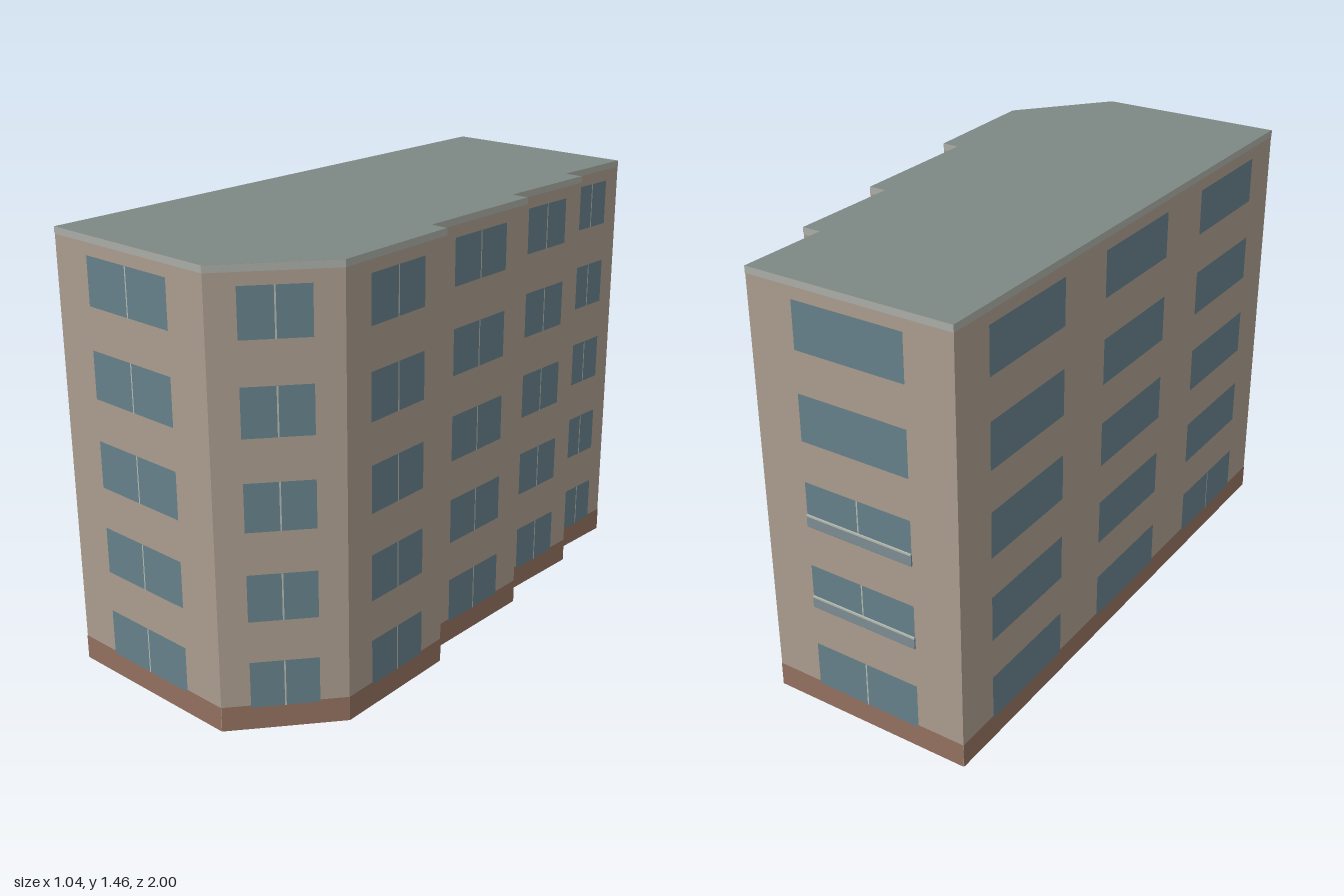
import * as THREE from 'three';

const H = 1.46, PLINTH = 0.083, CORNICE = 0.022;
const FLOORS = 5, STOREY = 0.292, SILL = 0.076, WIN_H = 0.155;

const mat = (color, side = THREE.FrontSide) => new THREE.MeshStandardMaterial({ color, side });
const wallMat = mat(0xaa9c8e, THREE.DoubleSide);
const plinthMat = mat(0x92705f);
const corniceMat = mat(0xa9aca6);
const roofMat = mat(0x7d8784, THREE.DoubleSide);
const glassMat = mat(0x66808a);
const mullionMat = mat(0xb4b8ae);
const railMat = mat(0x7c8c94, THREE.DoubleSide);

// Footprint corners [x, z], walking rightwards as seen from outside.
const FOOT = [
  [-0.35, 0.997], [0.3, 0.945], [0.52, 0.622], [0.465, 0.17], [0.405, 0.172], [0.36, -0.31],
  [0.3, -0.305], [0.272, -0.69], [0.208, -0.685], [0.188, -0.998], [-0.522, -0.938],
];
const BACK = 9, LEFT = 10;

// Flat panel in wall space: x along the wall, y up, z outward.
function panel(parent, name, material, x, y, w, h, z) {
  const m = new THREE.Mesh(new THREE.PlaneGeometry(w, h), material);
  m.name = name;
  m.position.set(x, y + h / 2, z);
  parent.add(m);
}

function hasMullion(wall, floor, bay) {
  if (wall === BACK) return floor < 3;
  if (wall === LEFT) return floor === 0 && bay === 2;
  return true;
}

// Shallow balcony front with a pale handrail.
function addBalcony(parent, x, y, w) {
  const balcony = new THREE.Group();
  balcony.name = 'balcony';
  const front = new THREE.Mesh(new THREE.BoxGeometry(w, 0.035, 0.006), railMat);
  front.name = 'balconyFront';
  front.position.set(x, y + 0.022, 0.004);
  const rail = new THREE.Mesh(new THREE.BoxGeometry(w, 0.006, 0.008), mullionMat);
  rail.name = 'handrail';
  rail.position.set(x, y + 0.042, 0.004);
  balcony.add(front, rail);
  parent.add(balcony);
}

function makeWall(i) {
  const [ax, az] = FOOT[i], [bx, bz] = FOOT[(i + 1) % FOOT.length];
  const len = Math.hypot(bx - ax, bz - az);
  const wall = new THREE.Group();
  wall.name = 'wall';
  wall.position.set(ax, 0, az);
  wall.rotation.y = -Math.atan2(bz - az, bx - ax);

  panel(wall, 'wallFace', wallMat, len / 2, 0, len, H, 0);
  panel(wall, 'plinth', plinthMat, len / 2, 0, len, PLINTH, 0.0015);
  panel(wall, 'cornice', corniceMat, len / 2, H - CORNICE, len, CORNICE, 0.0015);
  if (len < 0.1) return wall; // narrow step returns have no windows

  // Three bays on the long wall, one on the others.
  const bays = i === LEFT ? [0.18, 0.5, 0.82] : [0.5];
  const w = len * (i === LEFT ? 0.2 : 0.54);
  for (let f = 0; f < FLOORS; f++) {
    const y = SILL + f * STOREY;
    bays.forEach((t, bay) => {
      panel(wall, 'window', glassMat, t * len, y, w, WIN_H, 0.003);
      if (hasMullion(i, f, bay)) panel(wall, 'mullion', mullionMat, t * len, y, 0.005, WIN_H, 0.004);
    });
    if (i === BACK && (f === 1 || f === 2)) addBalcony(wall, len / 2, y, w);
  }
  return wall;
}

export function createModel() {
  const building = new THREE.Group();
  building.name = 'apartmentBuilding';
  FOOT.forEach((_, i) => building.add(makeWall(i)));

  // Flat roof following the footprint; the underside of the block stays open.
  const shape = new THREE.Shape(FOOT.map(([x, z]) => new THREE.Vector2(x, -z)));
  const roof = new THREE.Mesh(new THREE.ShapeGeometry(shape).rotateX(-Math.PI / 2), roofMat);
  roof.name = 'roof';
  roof.position.y = H;
  building.add(roof);
  return building;
}
